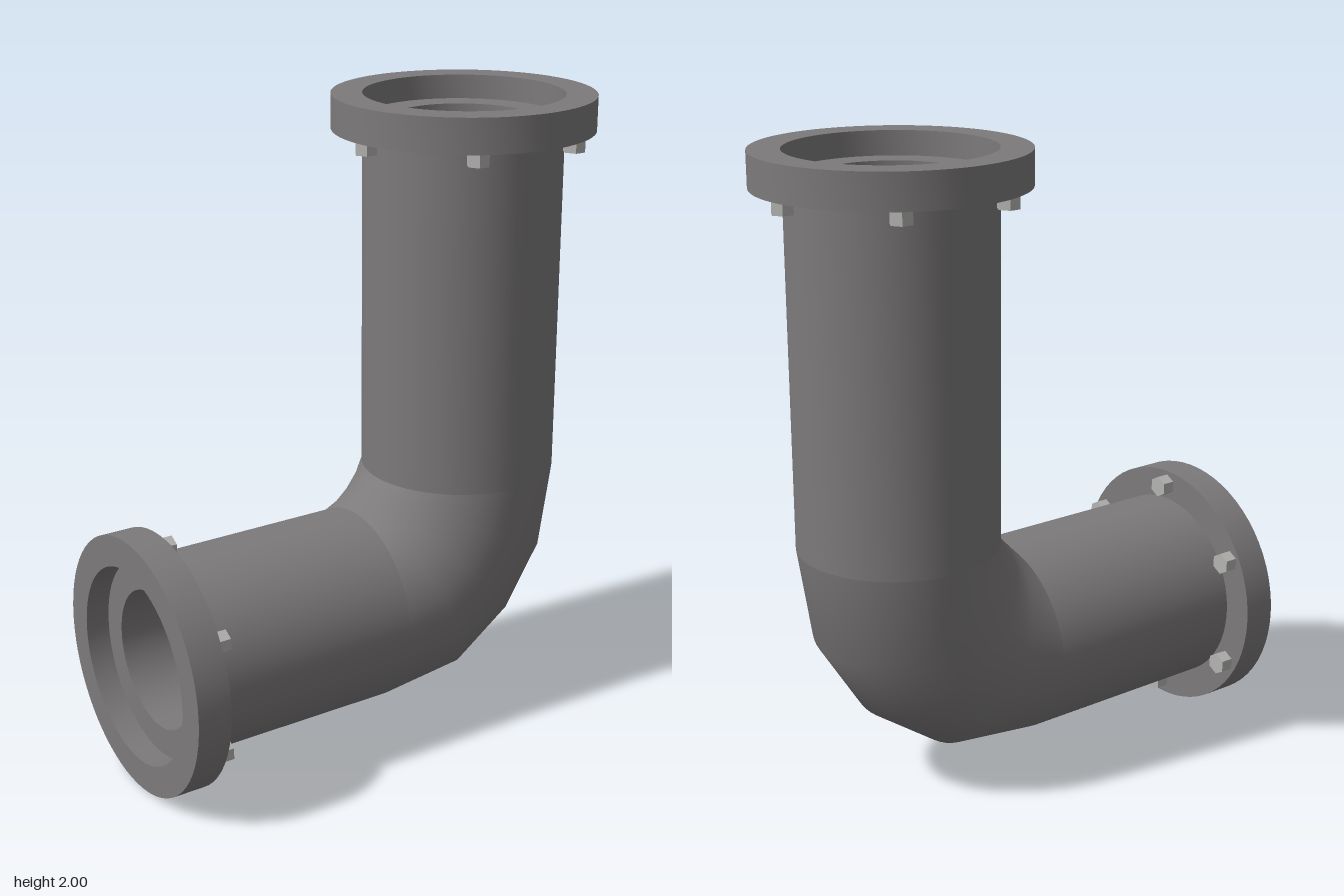
import * as THREE from 'three';
import { toCreasedNormals } from 'three/addons/utils/BufferGeometryUtils.js';

const PIPE_R = 0.308, BORE_R = 0.218, FLANGE_R = 0.404, FLANGE_T = 0.107;
const RECESS = 0.075, BOLT_CIRCLE = 0.357, SEGMENTS = 64;

const pipeGrey = new THREE.MeshStandardMaterial({ color: 0x7d7a7b });
pipeGrey.name = 'pipe grey';
const boltGrey = new THREE.MeshStandardMaterial({ color: 0xb4b4b2 });
boltGrey.name = 'bolt grey';

function addMesh(parent, name, geometry, material) {
  const mesh = new THREE.Mesh(geometry, material);
  mesh.name = name;
  parent.add(mesh);
  return mesh;
}

function lathe(profile) {
  const points = profile.map(([r, y]) => new THREE.Vector2(r, y));
  return toCreasedNormals(new THREE.LatheGeometry(points, SEGMENTS), Math.PI / 5);
}

// Straight pipe along +y, ending in a recessed flange with six hex bolts
function createArm(name, length) {
  const arm = new THREE.Group();
  arm.name = name;
  const under = length - FLANGE_T, floor = length - RECESS;
  addMesh(arm, 'pipeWall', lathe([[PIPE_R, 0], [PIPE_R, under]]), pipeGrey);
  addMesh(arm, 'pipeBore', lathe([[BORE_R, floor], [BORE_R, 0]]), pipeGrey);
  addMesh(arm, 'flange', lathe([
    [PIPE_R, under], [FLANGE_R, under], [FLANGE_R, length],
    [PIPE_R, length], [PIPE_R, floor], [BORE_R, floor],
  ]), pipeGrey);

  const head = new THREE.CylinderGeometry(0.035, 0.035, 0.042, 6).toNonIndexed();
  head.rotateY(Math.PI / 2); // a corner points outward
  head.computeVertexNormals();
  for (let i = 0; i < 6; i++) {
    const a = i * Math.PI / 3;
    const bolt = addMesh(arm, 'bolt', head, boltGrey);
    bolt.position.set(Math.cos(a) * BOLT_CIRCLE, under - 0.02, Math.sin(a) * BOLT_CIRCLE);
    bolt.rotation.y = -a;
  }
  return arm;
}

// Elbow lofted through ellipses; scale shrinks each section for the bore
function createElbow(scale, inward) {
  const outer = [[0, 0.096], [0.3, 0.13], [0.512, 0.28], [0.655, 0.505], [0.704, 0.81]];
  const positions = [], index = [];
  outer.forEach(([ox, oy], i) => {
    const t = i / (outer.length - 1);
    const ix = 0.088 * t, iy = 0.712 + 0.098 * t; // inside of the bend
    for (let j = 0; j < SEGMENTS; j++) {
      const a = j / SEGMENTS * Math.PI * 2, c = Math.cos(a) * scale / 2;
      positions.push(
        (ox + ix) / 2 + (ox - ix) * c,
        (oy + iy) / 2 + (oy - iy) * c,
        Math.sin(a) * PIPE_R * scale);
      if (i === outer.length - 1) continue;
      const p = i * SEGMENTS + j, q = i * SEGMENTS + (j + 1) % SEGMENTS;
      const r = p + SEGMENTS, s = q + SEGMENTS;
      if (inward) index.push(p, q, r, q, s, r);
      else index.push(p, r, q, q, r, s);
    }
  });
  const geometry = new THREE.BufferGeometry();
  geometry.setAttribute('position', new THREE.Float32BufferAttribute(positions, 3));
  geometry.setIndex(index);
  geometry.computeVertexNormals();
  return geometry;
}

export function createModel() {
  const model = new THREE.Group();
  model.name = 'flangedPipeElbow';

  const upright = createArm('uprightArm', 1.19);
  upright.position.set(0.396, 0.81, 0);
  model.add(upright);

  const level = createArm('levelArm', 0.8);
  level.rotation.z = Math.PI / 2;
  level.position.set(0, 0.404, 0);
  model.add(level);

  addMesh(model, 'elbowWall', createElbow(1, false), pipeGrey);
  addMesh(model, 'elbowBore', createElbow(BORE_R / PIPE_R, true), pipeGrey);
  return model;
}
